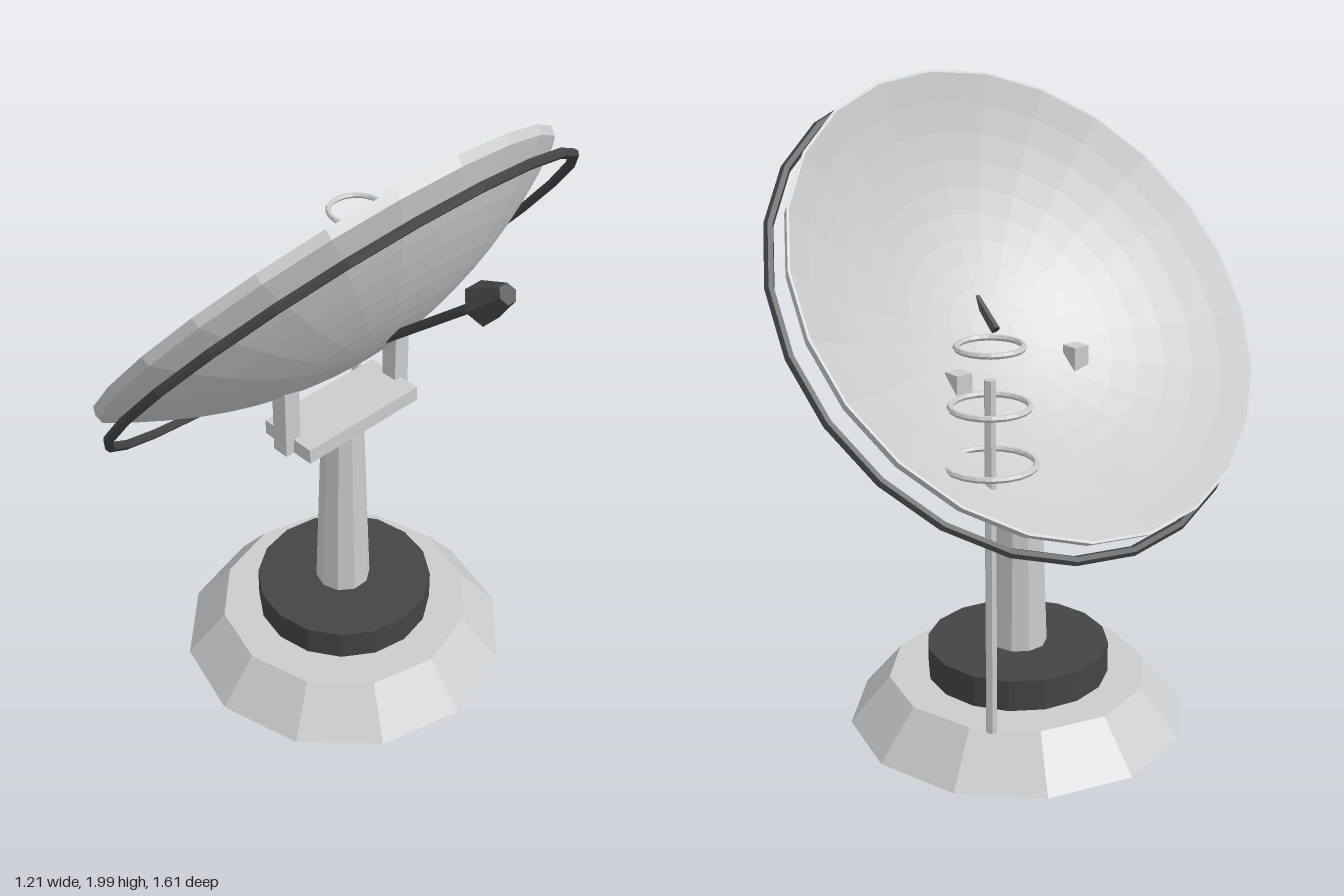
import * as THREE from 'three';

const AXIS_X = -0.03;              // the mast stands slightly off centre
const TILT = THREE.MathUtils.degToRad(50);

const material = (color) =>
  new THREE.MeshStandardMaterial({ color, flatShading: true, side: THREE.DoubleSide });

export function createModel() {
  const model = new THREE.Group();
  const grey = material(0xcccccc);
  const dark = material(0x444444);

  const add = (parent, name, geometry, mat, x = 0, y = 0, z = 0) => {
    const mesh = new THREE.Mesh(geometry, mat);
    mesh.name = name;
    mesh.position.set(x, y, z);
    parent.add(mesh);
    return mesh;
  };
  const cylinder = (rTop, rBottom, height, sides) =>
    new THREE.CylinderGeometry(rTop, rBottom, height, sides);

  // Foundation, turntable and tapered mast
  add(model, 'base', cylinder(0.41, 0.535, 0.15, 12), grey, AXIS_X + 0.005, 0.075);
  add(model, 'turntable', cylinder(0.287, 0.287, 0.1, 16), dark, AXIS_X + 0.005, 0.2);
  add(model, 'mast', cylinder(0.066, 0.09, 0.69, 10), grey, AXIS_X, 0.575);

  // Yoke: crossbar and two arms reaching into the bowl
  add(model, 'crossbar', new THREE.BoxGeometry(0.2, 0.05, 0.45), grey, AXIS_X, 0.94);
  for (const side of [-1, 1]) {
    add(model, side > 0 ? 'frontArm' : 'backArm',
      new THREE.BoxGeometry(0.056, 0.265, 0.056), grey, AXIS_X, 1.0475, side * 0.227);
  }

  // Tilted dish: outer bowl, lip, then the inner bowl back to the middle
  const dish = new THREE.Group();
  dish.name = 'dishAssembly';
  dish.position.set(-0.107, 1.396, 0);
  dish.rotation.z = TILT;
  model.add(dish);

  const steps = 10;
  const profile = [];
  for (let i = 0; i <= steps; i++) {
    const t = i / steps;
    profile.push(new THREE.Vector2(0.772 * t, -0.03 - 0.243 * (1 - t * t)));
  }
  profile.push(new THREE.Vector2(0.778, 0));
  for (let i = steps; i >= 0; i--) {
    const t = i / steps;
    profile.push(new THREE.Vector2(0.77 * t, -0.258 * (1 - t * t)));
  }
  add(dish, 'dish', new THREE.LatheGeometry(profile, 24), grey);

  // Support ring behind the rim
  const ring = new THREE.TorusGeometry(0.79, 0.015, 6, 24).rotateX(Math.PI / 2);
  add(dish, 'supportRing', ring, dark, 0, -0.101, 0);

  // Feed boom with a hexagonal horn at its end
  const feed = new THREE.Group();
  feed.name = 'feed';
  feed.position.set(0.08, 1.244, 0);
  feed.rotation.z = -TILT;
  model.add(feed);
  add(feed, 'feedBoom', cylinder(0.015, 0.015, 0.56, 6), dark, 0, 0.28);
  add(feed, 'feedHorn', cylinder(0.03, 0.063, 0.11, 6), dark, 0, 0.609);

  // Side antenna: thin pole with three rings that shrink upward
  const antenna = new THREE.Group();
  antenna.name = 'antenna';
  antenna.position.set(-0.355, 0, -0.37);
  model.add(antenna);
  add(antenna, 'antennaPole', cylinder(0.017, 0.017, 1.065, 6), grey, 0, 0.7325);
  [[1.025, 0.127], [1.19, 0.109], [1.357, 0.091]].forEach(([y, radius], i) => {
    const loop = new THREE.TorusGeometry(radius, 0.009, 6, 20).rotateX(Math.PI / 2);
    add(antenna, `antennaRing${i + 1}`, loop, grey, 0, y);
  });

  return model;
}
